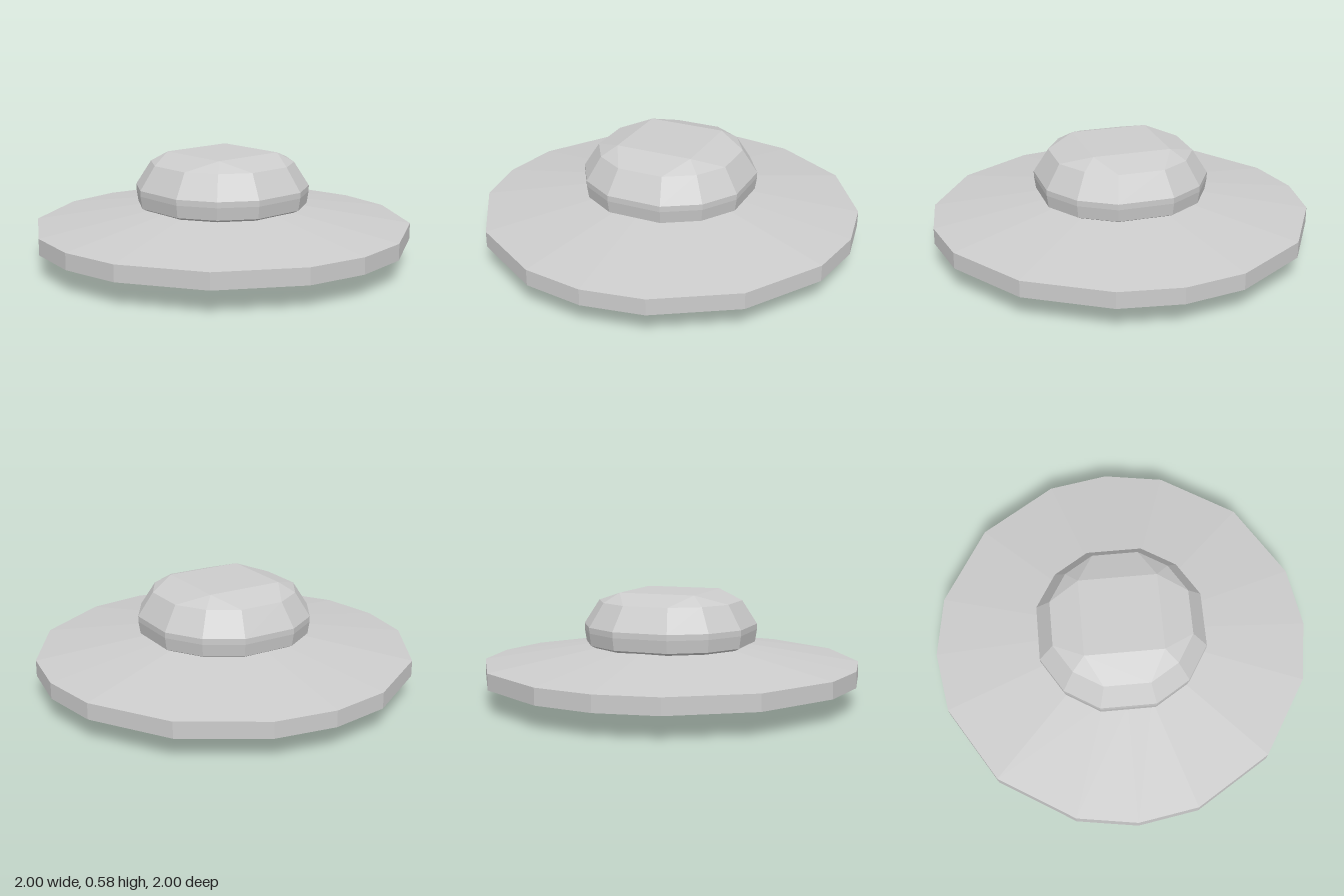
import * as THREE from 'three';

const material = new THREE.MeshStandardMaterial({ color: 0xcccccc, flatShading: true });

// Ring of points: three per quadrant, plus one on each axis for the wide disc
function ring(y, r, withAxes) {
  const step = Math.atan(1 / 3);
  const angles = [step, Math.PI / 4, Math.PI / 2 - step];
  if (withAxes) angles.unshift(0);
  const points = [];
  for (let k = 0; k < 4; k++) {
    for (const a of angles) {
      const t = a + k * Math.PI / 2;
      points.push(new THREE.Vector3(r * Math.sin(t), y, r * Math.cos(t)));
    }
  }
  return points;
}

// Adds a convex polygon as a triangle fan
function addFace(out, corners, flip) {
  const c = flip ? [...corners].reverse() : corners;
  for (let i = 1; i < c.length - 1; i++) out.push(c[0], c[i], c[i + 1]);
}

// Skins stacked rings from bottom to top
function addWalls(out, rings) {
  for (let j = 0; j < rings.length - 1; j++) {
    const lo = rings[j], hi = rings[j + 1], n = lo.length;
    for (let i = 0; i < n; i++) {
      const m = (i + 1) % n;
      addFace(out, [lo[i], lo[m], hi[m], hi[i]]);
    }
  }
}

// Closes a 12-point ring with a raised square, four slopes and four corner kites
function addSquareCap(out, edge, half, y, flip) {
  const square = [[1, 1], [1, -1], [-1, -1], [-1, 1]]
    .map(([x, z]) => new THREE.Vector3(x * half, y, z * half));
  addFace(out, square, flip);
  for (let k = 0; k < 4; k++) {
    const [a, b, c] = edge.slice(k * 3, k * 3 + 3);
    const next = edge[(k * 3 + 3) % 12];
    addFace(out, [square[k], a, b, c], flip);
    addFace(out, [square[k], c, next, square[(k + 1) % 4]], flip);
  }
}

function makeMesh(name, points) {
  const geometry = new THREE.BufferGeometry().setFromPoints(points);
  geometry.computeVertexNormals();
  const mesh = new THREE.Mesh(geometry, material);
  mesh.name = name;
  return mesh;
}

export function createModel() {
  const model = new THREE.Group();
  model.name = 'saucer';

  // Wide tapered disc with an upright rim
  const disc = [];
  const discRings = [[0.03, 0.4], [0.12, 1], [0.205, 1], [0.3, 0.4]]
    .map(([y, r]) => ring(y, r, true));
  addWalls(disc, discRings);
  addFace(disc, discRings[0], true);
  addFace(disc, discRings[3]);
  model.add(makeMesh('disc', disc));

  // Faceted dome with a bevelled square top
  const dome = [];
  const domeRings = [[0.295, 0.42], [0.31, 0.45], [0.375, 0.46], [0.405, 0.46], [0.53, 0.38]]
    .map(([y, r]) => ring(y, r, false));
  addWalls(dome, domeRings);
  addFace(dome, domeRings[0], true);
  addSquareCap(dome, domeRings[4], 0.205, 0.58, false);
  model.add(makeMesh('dome', dome));

  // Shallow plate under the disc
  const plate = [];
  const plateRings = [[0.035, 0.415], [0.015, 0.42]].map(([y, r]) => ring(y, r, false));
  addWalls(plate, [plateRings[1], plateRings[0]]);
  addSquareCap(plate, plateRings[1], 0.2, 0, true);
  model.add(makeMesh('bottomPlate', plate));

  return model;
}
